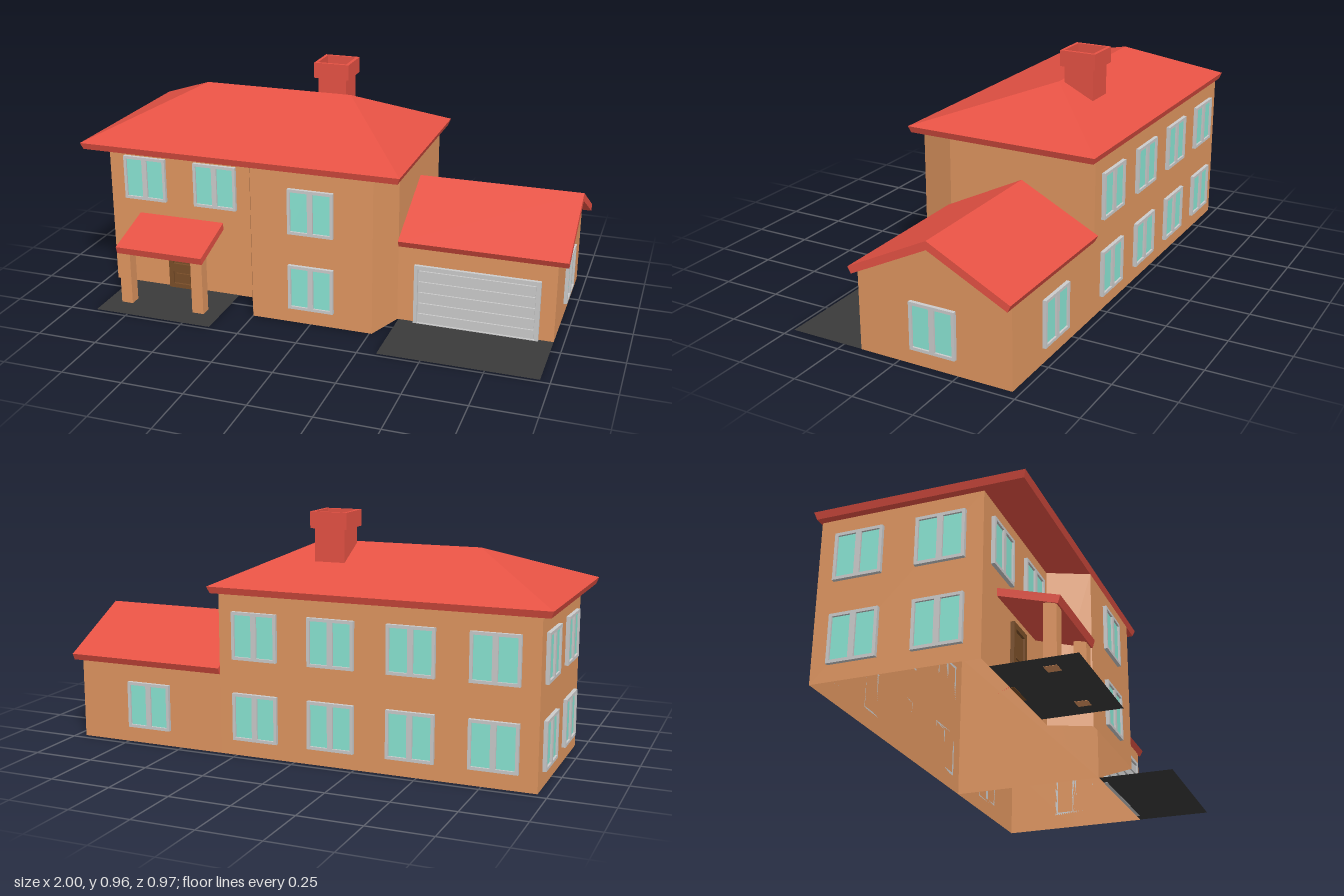
import * as THREE from 'three';

const mat = (color, side = THREE.FrontSide) =>
  new THREE.MeshStandardMaterial({ color, side, flatShading: true });
const WALL = mat(0xe09660, THREE.DoubleSide);
const ROOF = mat(0xe65244);
const GREY = mat(0xcccccc);
const GLASS = mat(0x8ae6d4);
const WOOD = mat(0x7a4e28);
const PAVING = mat(0x3a3a3a, THREE.DoubleSide);

function add(parent, name, geometry, material) {
  const mesh = new THREE.Mesh(geometry, material);
  mesh.name = name;
  parent.add(mesh);
  return mesh;
}

// Box given by its lowest and highest corners
function block(parent, name, material, [x0, y0, z0], [x1, y1, z1]) {
  const g = new THREE.BoxGeometry(x1 - x0, y1 - y0, z1 - z0);
  g.translate((x0 + x1) / 2, (y0 + y1) / 2, (z0 + z1) / 2);
  return add(parent, name, g, material);
}

function rect(x0, y0, x1, y1, Type = THREE.Shape) {
  return new Type([[x0, y0], [x1, y0], [x1, y1], [x0, y1]].map(p => new THREE.Vector2(...p)));
}

// Rectangular plate with rectangular holes, extruded towards +z
function plate(outer, holes, depth) {
  const shape = rect(...outer);
  shape.holes = holes.map(h => rect(...h, THREE.Path));
  return new THREE.ExtrudeGeometry(shape, { depth, bevelEnabled: false });
}

function meshFrom(vertices, index) {
  const g = new THREE.BufferGeometry();
  g.setAttribute('position', new THREE.Float32BufferAttribute(vertices.flat(), 3));
  g.setIndex(index);
  const flat = g.toNonIndexed();
  flat.computeVertexNormals();
  return flat;
}

// Closed wall along plan points [x, z, top height]
function walls(points) {
  const v = [], index = [], n = points.length;
  points.forEach(([x, z, top], i) => {
    v.push([x, 0, z], [x, top, z]);
    const a = 2 * i, b = 2 * ((i + 1) % n);
    index.push(a, b, b + 1, a, b + 1, a + 1);
  });
  return meshFrom(v, index);
}

// Roof slab: [z, y] profile extruded from x0 to x1
function slab(profile, x0, x1) {
  const shape = new THREE.Shape(profile.map(p => new THREE.Vector2(...p)));
  const g = new THREE.ExtrudeGeometry(shape, { depth: x1 - x0, bevelEnabled: false });
  return g.rotateY(-Math.PI / 2).translate(x1, 0, 0);
}

// Hipped roof: soffit, fascia and ridge rings [x0, x1, zFront, zBack, y]
function hipRoof(rings) {
  const v = [], index = [];
  rings.forEach(([x0, x1, zf, zb, y], r) => {
    v.push([x0, y, zf], [x1, y, zf], [x1, y, zb], [x0, y, zb]);
    if (r === 0) return;
    for (let i = 0; i < 4; i++) {
      const a = 4 * (r - 1) + i, b = 4 * (r - 1) + (i + 1) % 4;
      index.push(a, b, b + 4);
      // skip the collapsed triangles at the ridge ends
      if (!(zf === zb && i % 2 === 1)) index.push(a, b + 4, a + 4);
    }
  });
  index.push(0, 2, 1, 0, 3, 2);
  return meshFrom(v, index);
}

// Two-pane window facing +z before turning
function addWindow(parent, x, y, z, turn = 0) {
  const w = new THREE.Group();
  w.name = 'window';
  const panes = [-0.047, 0.047].map(c => [c - 0.036, -0.083, c + 0.036, 0.083]);
  add(w, 'windowFrame', plate([-0.095, -0.095, 0.095, 0.095], panes, 0.015), GREY);
  for (const [x0, y0, x1, y1] of panes)
    block(w, 'windowPane', GLASS, [x0, y0, 0.001], [x1, y1, 0.007]);
  w.position.set(x, y, z);
  w.rotation.y = turn;
  parent.add(w);
}

export function createModel() {
  const house = new THREE.Group();
  house.name = 'house';
  const LOW = 0.16, HIGH = 0.485;
  const BACK = -0.47, FRONT = 0.17, BAY = 0.33, MID = -0.155;

  // Main block with a splayed bay at the front
  const plan = [[-0.96, FRONT], [-0.32, FRONT], [-0.25, BAY], [0.26, BAY],
    [0.32, FRONT], [0.32, BACK], [-0.96, BACK]];
  add(house, 'mainWalls', walls(plan.map(p => [...p, 0.646])), WALL);
  add(house, 'mainRoof', hipRoof([
    [-0.99, 0.355, 0.33, -0.477, 0.645],
    [-1, 0.365, 0.338, -0.486, 0.672],
    [-0.64, 0.01, MID, MID, 0.836],
  ]), ROOF);

  // Garage wing with gable roof
  add(house, 'garageWalls', walls([[0.32, FRONT, 0.325], [0.96, FRONT, 0.325],
    [0.96, MID, 0.486], [0.96, BACK, 0.325], [0.32, BACK, 0.325], [0.32, MID, 0.486]]), WALL);
  add(house, 'garageRoof', slab([[0.17, 0.323], [0.184, 0.349], [MID, 0.517],
    [-0.486, 0.349], [-0.474, 0.323], [MID, 0.483]], 0.32, 1), ROOF);

  // Garage door: frame and horizontal panels
  const garageDoor = new THREE.Group();
  garageDoor.name = 'garageDoor';
  const opening = [0.405, 0.004, 0.885, 0.24];
  add(garageDoor, 'garageDoorFrame', plate([0.39, 0, 0.9, 0.255], [opening], 0.015)
    .translate(0, 0, FRONT), GREY);
  block(garageDoor, 'garageDoorBacking', GREY, [0.405, 0.004, FRONT + 0.001], [0.885, 0.24, FRONT + 0.004]);
  for (let i = 0; i < 5; i++) {
    const y = 0.006 + i * 0.047;
    block(garageDoor, 'garageDoorPanel', GREY, [0.41, y, FRONT + 0.001], [0.88, y + 0.038, FRONT + 0.011]);
  }
  house.add(garageDoor);

  // Chimney with a hollow cap
  block(house, 'chimneyStack', ROOF, [-0.138, 0.7, -0.295], [-0.014, 0.9, -0.168]);
  add(house, 'chimneyCap', plate([-0.151, 0.154, 0, 0.308], [[-0.138, 0.168, -0.014, 0.295]], 0.065)
    .rotateX(-Math.PI / 2).translate(0, 0.897, 0)
    .translate(0, 0, 0), ROOF).position.z = 0.0;

  // Windows: back rows, side rows, front and garage
  for (const y of [LOW, HIGH]) {
    for (let i = 0; i < 4; i++) addWindow(house, -0.795 + i * 0.32, y, BACK, Math.PI);
    for (const z of [-0.31, 0.01]) addWindow(house, -0.96, y, z, -Math.PI / 2);
    addWindow(house, 0.005, y, BAY);
  }
  for (const x of [-0.795, -0.475]) addWindow(house, x, HIGH, FRONT);
  addWindow(house, 0.645, LOW, BACK, Math.PI);
  addWindow(house, 0.96, LOW, -0.15, Math.PI / 2);

  // Front door with two recessed panels
  const door = new THREE.Group();
  door.name = 'frontDoor';
  const panels = [[-0.68, 0.02, -0.595, 0.077], [-0.68, 0.113, -0.595, 0.232]];
  add(door, 'doorLeaf', plate([-0.7, 0, -0.572, 0.255], panels, 0.015).translate(0, 0, FRONT), WOOD);
  for (const [x0, y0, x1, y1] of panels) {
    block(door, 'doorRecess', WOOD, [x0, y0, FRONT + 0.001], [x1, y1, FRONT + 0.005]);
    block(door, 'doorPanel', WOOD, [x0 + 0.01, y0 + 0.01, FRONT + 0.001], [x1 - 0.01, y1 - 0.01, FRONT + 0.012]);
  }
  const knob = add(door, 'doorKnob', new THREE.SphereGeometry(0.006, 10, 8), GREY);
  knob.position.set(-0.583, 0.1, FRONT + 0.019);
  house.add(door);

  // Porch canopy on two posts
  add(house, 'porchCanopy', slab([[FRONT, 0.294], [0.393, 0.226], [0.402, 0.256], [FRONT, 0.325]],
    -0.83, -0.445), ROOF);
  for (const x of [-0.825, -0.5]) block(house, 'porchPost', WALL, [x, 0, 0.337], [x + 0.05, 0.238, 0.386]);

  // Paved areas
  for (const [name, x0, x1] of [['porchPaving', -0.89, -0.38], ['driveway', 0.325, 0.96]]) {
    const g = new THREE.PlaneGeometry(x1 - x0, 0.485 - FRONT).rotateX(-Math.PI / 2);
    add(house, name, g.translate((x0 + x1) / 2, 0.001, (0.485 + FRONT) / 2), PAVING);
  }
  return house;
}
